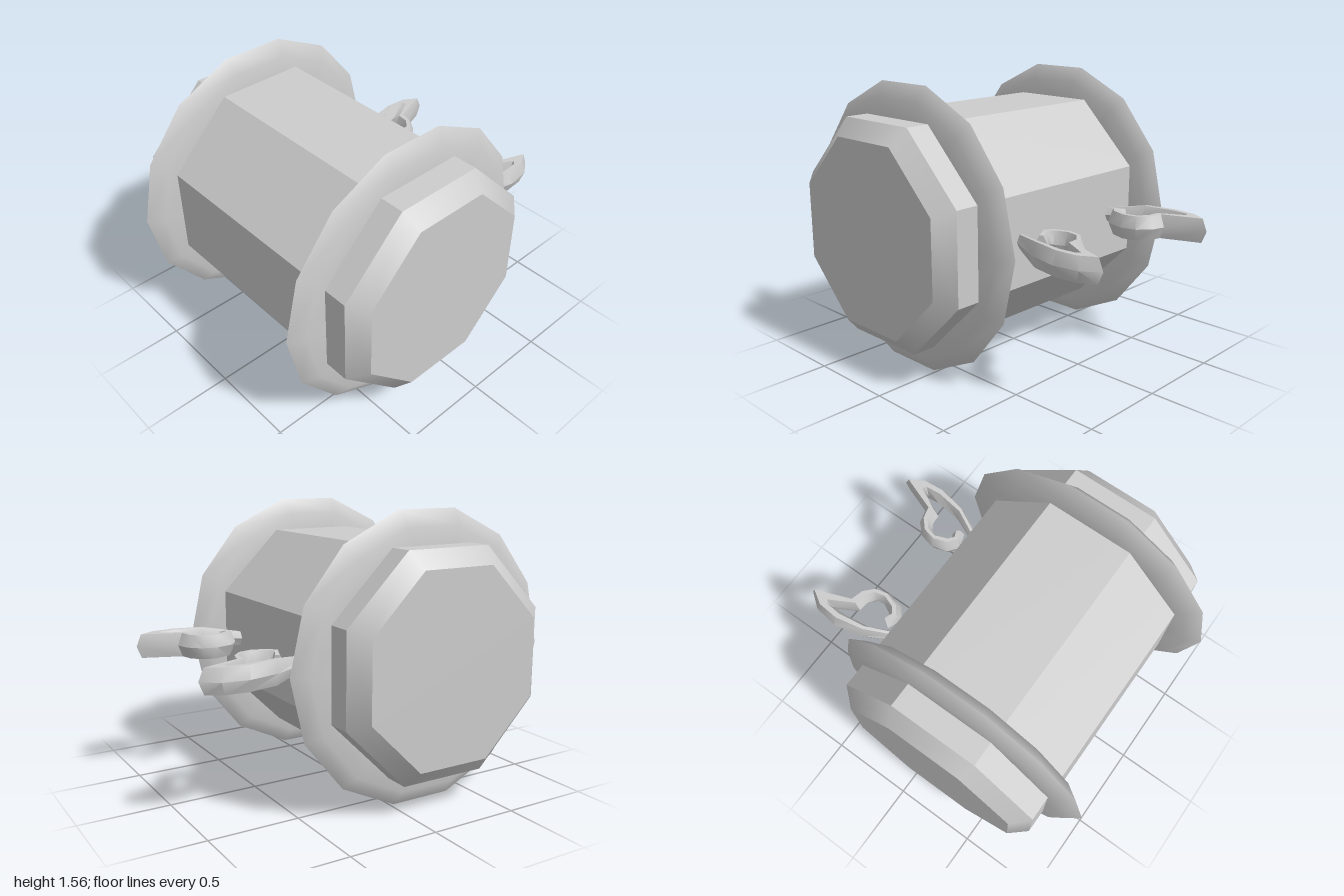
import * as THREE from 'three';
import { toCreasedNormals } from 'three/addons/utils/BufferGeometryUtils.js';

const AXIS_Y = 0.783, AXIS_Z = 0.2; // height and depth of the barrel axis

export function createModel() {
  const root = new THREE.Group();
  root.name = 'barrelBody';
  const grey = new THREE.MeshStandardMaterial({ color: 0xcccccc });
  grey.name = 'light grey';

  const add = (name, geometry, parent = root) => {
    const mesh = new THREE.Mesh(geometry, grey);
    mesh.name = name;
    parent.add(mesh);
    return mesh;
  };

  // Everything turned about the barrel axis is modelled along y, then laid along x
  const drum = new THREE.Group();
  drum.name = 'drum';
  drum.rotation.z = -Math.PI / 2;
  drum.position.set(0, AXIS_Y, AXIS_Z);
  root.add(drum);

  // Eight flat sides
  const sides = new THREE.CylinderGeometry(0.65, 0.65, 1.6, 8, 1, true).rotateY(Math.PI / 8);
  add('barrelSides', toCreasedNormals(sides, 0.3), drum);

  for (const s of [1, -1]) {
    const label = s > 0 ? 'left' : 'right';

    // Bevelled end with a flat face
    const bevel = new THREE.CylinderGeometry(0.552, 0.65, 0.085, 8, 1, true).rotateY(Math.PI / 8);
    bevel.translate(0, 0.8425, 0);
    const face = new THREE.CircleGeometry(0.552, 8, Math.PI / 8).rotateX(-Math.PI / 2);
    face.translate(0, 0.885, 0);
    if (s < 0) {
      bevel.rotateX(Math.PI);
      face.rotateX(Math.PI);
    }
    add(label + 'EndBevel', bevel, drum);
    add(label + 'EndFace', face, drum);

    // Sharp-rimmed hoop, one shell on each side of the rim
    const profile = [[0.8, 0], [0.715, 0.055], [0.545, 0.055]];
    const upper = profile.map(([r, y]) => new THREE.Vector2(r, y));
    const lower = profile.map(([r, y]) => new THREE.Vector2(r, -y)).reverse();
    for (const [part, points] of [['Upper', upper], ['Lower', lower]]) {
      const hoop = add(label + 'Hoop' + part, new THREE.LatheGeometry(points, 14), drum);
      hoop.position.y = 0.61 * s;
    }

    add(label + 'Hook', hookGeometry(s));
  }
  return root;
}

// Curled hook: hexagonal sections between an outer and an inner edge
function hookGeometry(s) {
  // outer x, outer z, inner x, inner z, half height
  const stations = [
    [0.38, -0.38, 0.325, -0.38, 0.035],
    [0.495, -0.60, 0.425, -0.59, 0.0675],
    [0.532, -0.765, 0.447, -0.755, 0.0675],
    [0.511, -0.908, 0.45, -0.83, 0.0675],
    [0.442, -0.998, 0.447, -0.84, 0.0675],
    [0.357, -0.786, 0.375, -0.70, 0.0675],
    [0.278, -0.765, 0.315, -0.695, 0.0675],
    [0.214, -0.701, 0.272, -0.664, 0.0675],
    [0.193, -0.616, 0.262, -0.611, 0.0675],
    [0.22, -0.516, 0.288, -0.558, 0.0675],
    [0.283, -0.468, 0.304, -0.542, 0.0675],
    [0.368, -0.50, 0.328, -0.558, 0.055],
  ];
  const positions = [], index = [];
  const tri = (a, b, c) => (s > 0 ? index.push(a, b, c) : index.push(a, c, b));

  stations.forEach(([ox, oz, ix, iz, h], k) => {
    const t = Math.min(0.35, 0.028 / Math.hypot(ox - ix, oz - iz));
    const section = [[0, 0], [t, h], [1 - t, h], [1, 0], [1 - t, -h], [t, -h]];
    section.forEach(([u, y], j) => {
      positions.push(s * (ox + (ix - ox) * u), AXIS_Y + y, oz + (iz - oz) * u);
      if (k === 0) return;
      const n = (j + 1) % 6, p = (k - 1) * 6, q = k * 6;
      tri(p + j, q + j, p + n);
      tri(p + n, q + j, q + n);
    });
  });
  // End caps
  const last = (stations.length - 1) * 6;
  for (let j = 1; j < 5; j++) {
    tri(0, j, j + 1);
    tri(last, last + j + 1, last + j);
  }
  const geometry = new THREE.BufferGeometry();
  geometry.setAttribute('position', new THREE.Float32BufferAttribute(positions, 3));
  geometry.setIndex(index);
  return toCreasedNormals(geometry, 0.7);
}
